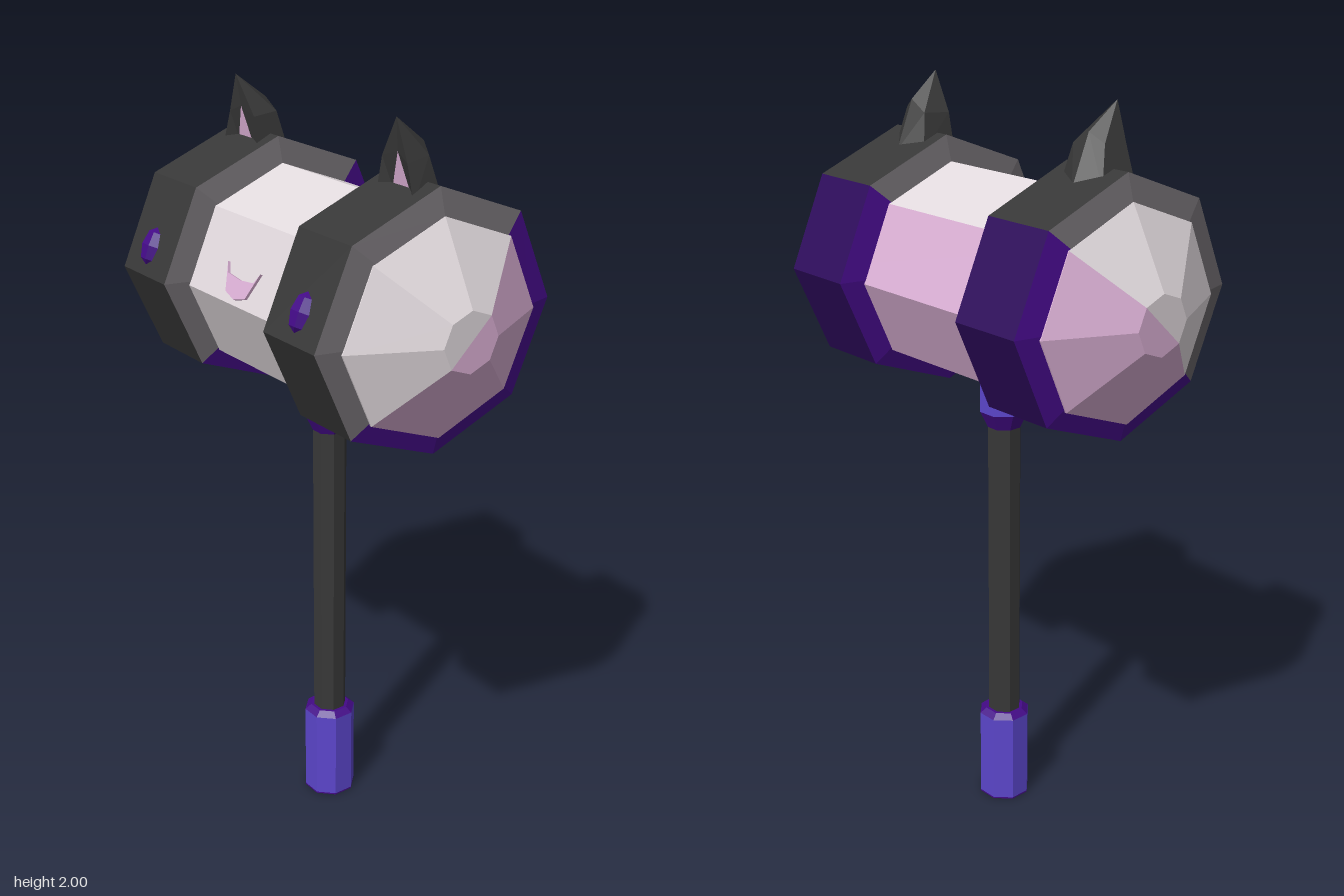
import * as THREE from 'three';

const mat = (name, color) => {
  const m = new THREE.MeshStandardMaterial({ color, flatShading: true });
  m.name = name;
  return m;
};

// Non-indexed geometry from a list of corner points, giving flat faces
function facets(points) {
  const g = new THREE.BufferGeometry();
  g.setAttribute('position', new THREE.Float32BufferAttribute(points.flat(), 3));
  g.computeVertexNormals();
  return g;
}

// Half of an eight-sided barrel along x; profile rows are [x, radiusZ, radiusY]
function halfBarrel(profile, firstSide, cy) {
  const pts = [];
  const p = ([x, rz, ry], k) => {
    const t = (k * Math.PI) / 4;
    return [x, cy + ry * Math.sin(t), rz * Math.cos(t)];
  };
  for (let i = 0; i < profile.length - 1; i++) {
    for (let k = firstSide; k < firstSide + 4; k++) {
      const a = p(profile[i], k), b = p(profile[i + 1], k);
      const c = p(profile[i + 1], k + 1), d = p(profile[i], k + 1);
      if (profile[i + 1][1] > 0) pts.push(a, b, c);
      if (profile[i][1] > 0) pts.push(a, c, d);
      else pts.push();
      if (profile[i + 1][1] === 0) pts.push();
    }
  }
  return facets(pts);
}

export function createModel() {
  const root = new THREE.Group();
  root.name = 'hammer';
  const white = mat('white', 0xe2dade);
  const pink = mat('pink', 0xdbb0d5);
  const black = mat('black', 0x383838);
  const grey = mat('grey', 0x6c686c);
  const darkPurple = mat('darkPurple', 0x2e0a5c);
  const purple = mat('purple', 0x440a88);
  const violet = mat('violet', 0x5c46cc);

  const add = (name, geometry, material, parent = root) => {
    const m = new THREE.Mesh(geometry, material);
    m.name = name;
    parent.add(m);
    return m;
  };

  // Eight-sided upright shaft section with a flat facing the front
  const shaft = (name, rTop, rBottom, y0, y1, material) => {
    const k = 1 / Math.cos(Math.PI / 8);
    const g = new THREE.CylinderGeometry(rTop * k, rBottom * k, y1 - y0, 8);
    g.rotateY(Math.PI / 8);
    g.translate(0, (y0 + y1) / 2, 0);
    return add(name, g, material);
  };
  shaft('gripBase', 0.066, 0.066, 0, 0.004, purple);
  shaft('grip', 0.066, 0.066, 0.004, 0.258, violet);
  shaft('gripBevel', 0.05, 0.066, 0.258, 0.272, purple);
  shaft('handle', 0.042, 0.042, 0.26, 1.16, black);
  shaft('collarTaper', 0.062, 0.042, 1.12, 1.165, purple);
  shaft('collar', 0.062, 0.062, 1.165, 1.262, violet);

  // Head: front and top half first, back and underside half second
  const bodyProfile = [[-0.545, 0, 0], [-0.545, 0.082, 0.077], [-0.44, 0.29, 0.272],
    [0.44, 0.29, 0.272], [0.545, 0.082, 0.077], [0.545, 0, 0]];
  add('headFront', halfBarrel(bodyProfile, -1, 1.515), white);
  add('headBack', halfBarrel(bodyProfile, 3, 1.515), pink);

  for (const s of [-1, 1]) {
    const side = new THREE.Group();
    side.name = s > 0 ? 'leftBand' : 'rightBand';
    side.position.x = s * 0.321;
    root.add(side);

    // Thick bands with sloping side walls
    const inner = [0.28, 0.263], outer = [0.354, 0.329];
    const walls = [
      [[-0.118, ...inner], [-0.1, ...outer]],
      [[0.1, ...outer], [0.118, ...inner]],
    ];
    const rim = [[-0.1, ...outer], [0.1, ...outer]];
    [[-1, black, grey, 'Front'], [3, darkPurple, purple, 'Back']].forEach(([k, rimMat, wallMat, label]) => {
      add('band' + label, halfBarrel(rim, k, 1.524), rimMat, side);
      walls.forEach((w) => add('bandWall' + label, halfBarrel(w, k, 1.524), wallMat, side));
    });

    // Faceted eye gem lying on the sloping front of the band
    const eye = add('eye', new THREE.SphereGeometry(1, 6, 4), purple, side);
    eye.scale.set(0.031, 0.05, 0.024);
    eye.rotation.x = -0.42;
    eye.position.set(s * 0.008, 1.594, 0.322);

    // Pointed ear: base ring, narrower middle ring and a forward-leaning tip
    const low = [[-0.072, 1.81, 0.055], [-0.058, 1.81, -0.04], [0, 1.81, -0.082],
      [0.07, 1.81, -0.05], [0.075, 1.81, 0.047]];
    const mid = [[-0.043, 1.9, 0.052], [-0.038, 1.91, -0.015], [0, 1.935, -0.03],
      [0.05, 1.905, -0.03], [0.058, 1.9, 0.045]];
    const tip = [-0.006, 2, 0.056];
    const [p1, p2, p3] = [[-0.032, 1.83, 0.033], [0.032, 1.83, 0.033], [0, 1.92, 0.046]];
    const shell = [];
    for (let i = 0; i < 4; i++) {
      shell.push(low[i], mid[i], mid[i + 1], low[i], mid[i + 1], low[i + 1], mid[i], tip, mid[i + 1]);
    }
    shell.push(low[0], p1, mid[0], p1, p3, mid[0], mid[0], p3, tip);
    shell.push(low[4], mid[4], p2, p2, mid[4], p3, mid[4], tip, p3);
    // Mirror the left ear and keep its faces pointing outward
    const mirrored = (pts) => {
      if (s < 0) return pts;
      return pts.map(([x, y, z]) => [-x, y, z]).reverse();
    };
    add('ear', facets(mirrored(shell)), black, side);
    add('innerEar', facets(mirrored([p1, p2, p3])), pink, side);
  }

  // Thin smiling mouth on the sloping front of the head
  const mouthShape = new THREE.Shape([[-0.07, 0.04], [-0.055, 0.014], [0, 0.008], [0.055, 0.014],
    [0.07, 0.04], [0.042, -0.03], [0, -0.042], [-0.042, -0.03]].map(([x, y]) => new THREE.Vector2(x, y)));
  const mouth = add('mouth', new THREE.ExtrudeGeometry(mouthShape, { depth: 0.008, bevelEnabled: false }), pink);
  mouth.rotation.x = -0.417;
  mouth.position.set(0, 1.566, 0.267);

  return root;
}
